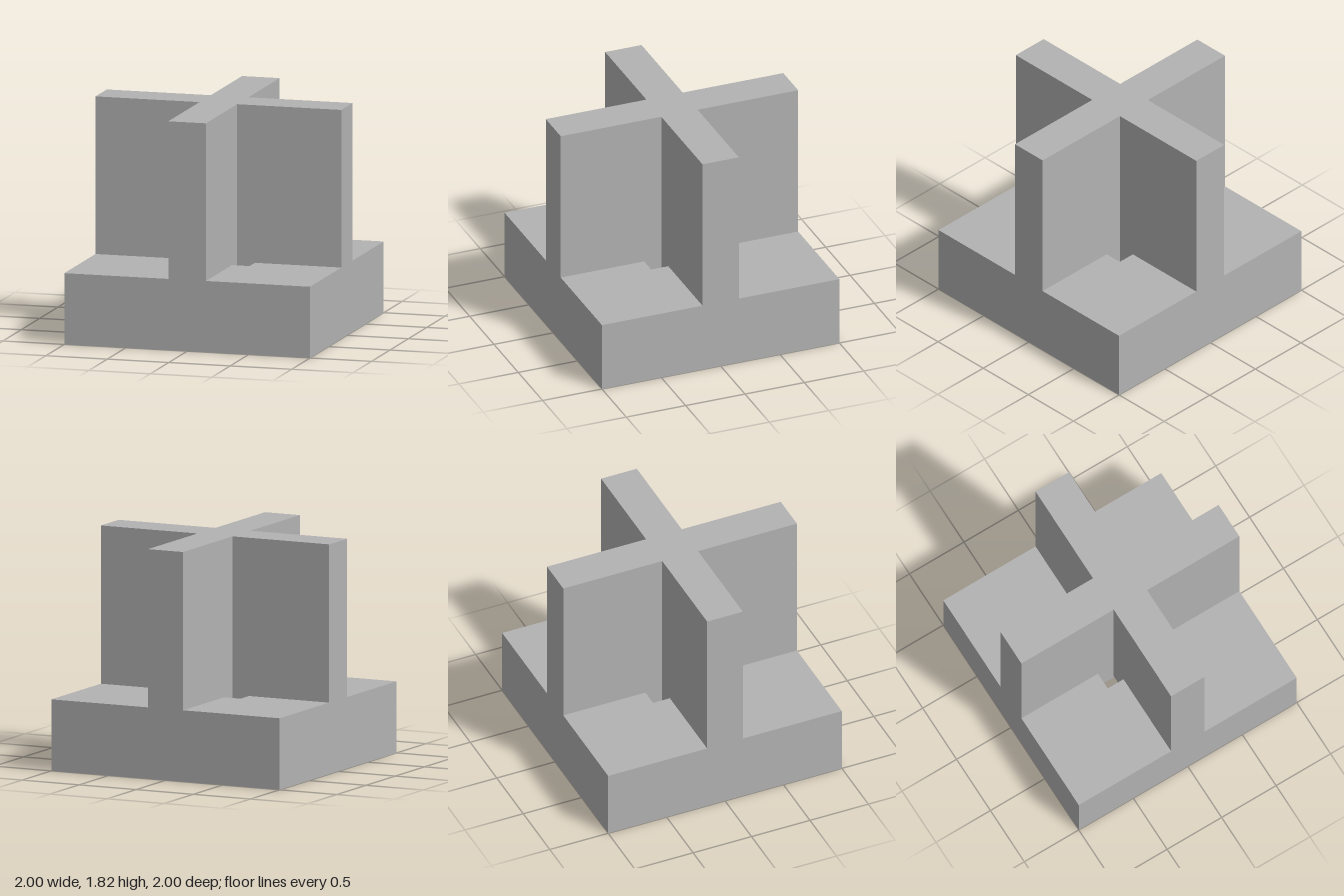
import * as THREE from 'three';
import { toCreasedNormals } from 'three/addons/utils/BufferGeometryUtils.js';

const STEP = 0.3;     // depth of the pockets in the underside
const FLOOR = 0.565;  // top of the base
const TOP = 1.815;    // top of the cross walls
const WALL = 0.153;   // half thickness of the cross walls

const polygon = (pts, Type = THREE.Shape) => new Type(pts.map(([x, y]) => new THREE.Vector2(x, y)));

const square = (x0, y0, x1, y1, Type) => polygon([[x0, y0], [x1, y0], [x1, y1], [x0, y1]], Type);

// base outline with four square openings reaching from inner to outer in each quadrant
function baseShape(inner, outer) {
  const shape = square(-1, -1, 1, 1);
  for (const sx of [-1, 1]) {
    for (const sy of [-1, 1]) {
      const x = [sx * inner, sx * outer].sort((a, b) => a - b);
      const y = [sy * inner, sy * outer].sort((a, b) => a - b);
      shape.holes.push(square(x[0], y[0], x[1], y[1], THREE.Path));
    }
  }
  return shape;
}

// upright extrusion between two heights
function slab(name, shape, y0, y1, material) {
  let geometry = new THREE.ExtrudeGeometry(shape, { depth: y1 - y0, bevelEnabled: false, curveSegments: 48 });
  geometry.rotateX(-Math.PI / 2);
  geometry.translate(0, y0, 0);
  geometry = toCreasedNormals(geometry, Math.PI / 6);
  const mesh = new THREE.Mesh(geometry, material);
  mesh.name = name;
  return mesh;
}

export function createModel() {
  const group = new THREE.Group();
  group.name = 'crossBlock';
  const grey = new THREE.MeshStandardMaterial({ color: 0xb3b3b3 });
  grey.name = 'grey';

  // lower base: wide square pockets and two round blind holes
  const lower = baseShape(0.07, 0.385);
  for (const y of [-0.75, 0.75]) {
    const hole = new THREE.Path();
    hole.absarc(0, y, 0.127, 0, Math.PI * 2, true);
    lower.holes.push(hole);
  }
  group.add(slab('lowerBase', lower, 0, STEP, grey));

  // upper base: narrower openings in the corners of the cross
  group.add(slab('upperBase', baseShape(WALL, 0.297), STEP, FLOOR, grey));

  // crossing walls
  const w = WALL;
  const cross = polygon([
    [w, -1], [w, -w], [1, -w], [1, w], [w, w], [w, 1],
    [-w, 1], [-w, w], [-1, w], [-1, -w], [-w, -w], [-w, -1],
  ]);
  group.add(slab('crossWalls', cross, FLOOR, TOP, grey));

  return group;
}
